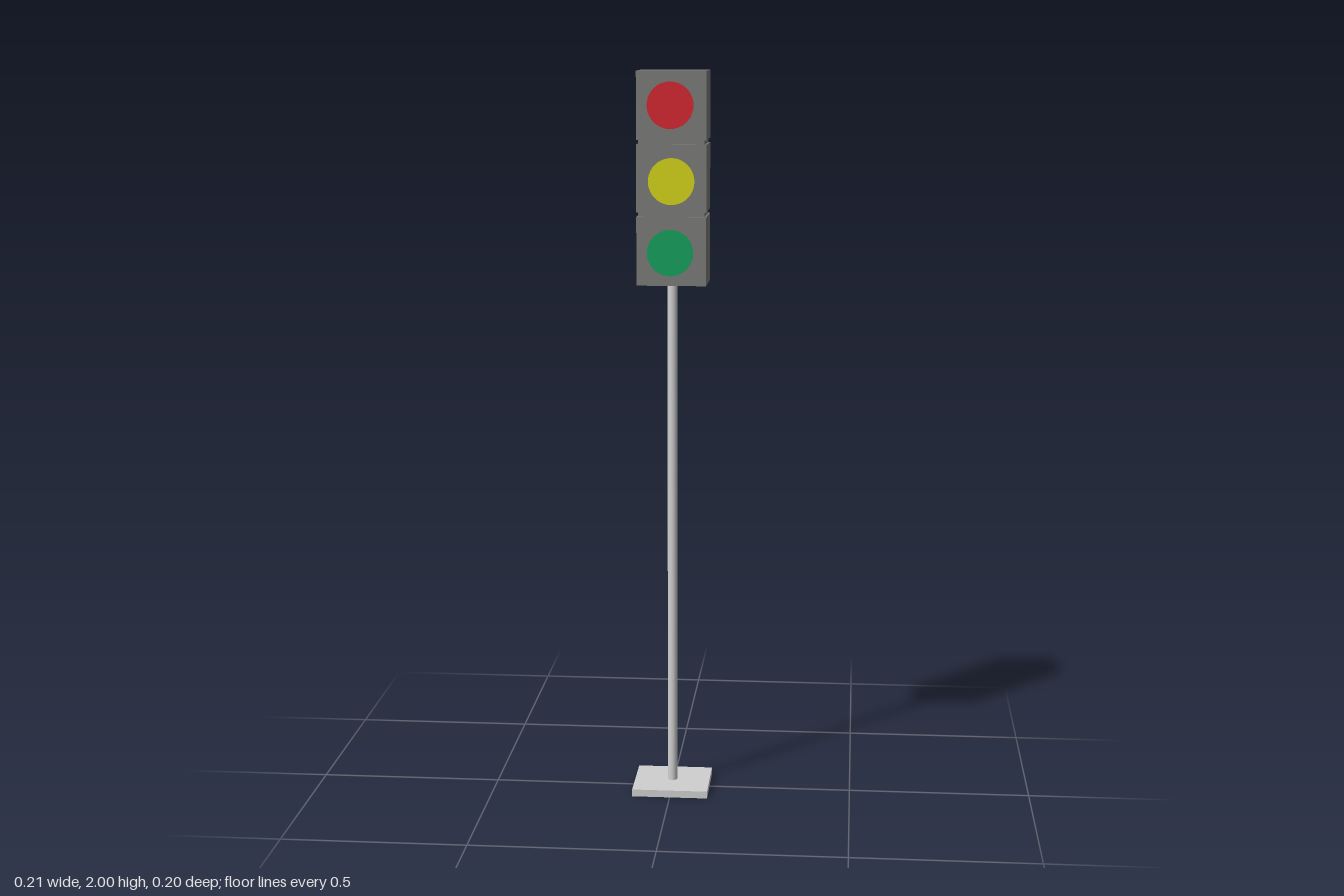
import * as THREE from 'three';

export function createModel() {
  const group = new THREE.Group();
  const material = (name, color) => {
    const m = new THREE.MeshStandardMaterial({ color });
    m.name = name;
    return m;
  };
  const housing = material('dark grey housing', 0x7a7a78);
  const metal = material('light grey metal', 0xd0d0d0);

  const add = (name, geometry, mat, x, y, z) => {
    const mesh = new THREE.Mesh(geometry, mat);
    mesh.name = name;
    mesh.position.set(x, y, z);
    group.add(mesh);
  };

  // Base plate and pole
  add('basePlate', new THREE.BoxGeometry(0.21, 0.02, 0.2), metal, 0, 0.01, 0);
  add('pole', new THREE.CylinderGeometry(0.0135, 0.0135, 1.42, 24), metal, 0, 0.73, 0);

  // Signal head: three stacked boxes, each with a thin round lens
  const cx = 0.003, cz = 0.004, width = 0.187, depth = 0.149;
  const signals = [
    { name: 'red', color: 0xd4222d, bottom: 1.819, top: 2, x: 0, y: 1.91 },
    { name: 'yellow', color: 0xd4d414, bottom: 1.628, top: 1.807, x: 0.003, y: 1.71 },
    { name: 'green', color: 0x10a05c, bottom: 1.432, top: 1.616, x: 0, y: 1.52 },
  ];
  for (const s of signals) {
    add(s.name + 'SignalBox', new THREE.BoxGeometry(width, s.top - s.bottom, depth),
      housing, cx, (s.top + s.bottom) / 2, cz);
    const lens = new THREE.CylinderGeometry(0.062, 0.062, 0.002, 40);
    lens.rotateX(Math.PI / 2);
    add(s.name + 'Lens', lens, material(s.name + ' lens', s.color), s.x, s.y, cz + depth / 2 + 0.001);
  }

  // Recessed collars between the boxes
  for (const y of [1.813, 1.622]) {
    add('collar', new THREE.BoxGeometry(width - 0.01, 0.012, depth - 0.01), housing, cx, y, cz);
  }
  return group;
}
